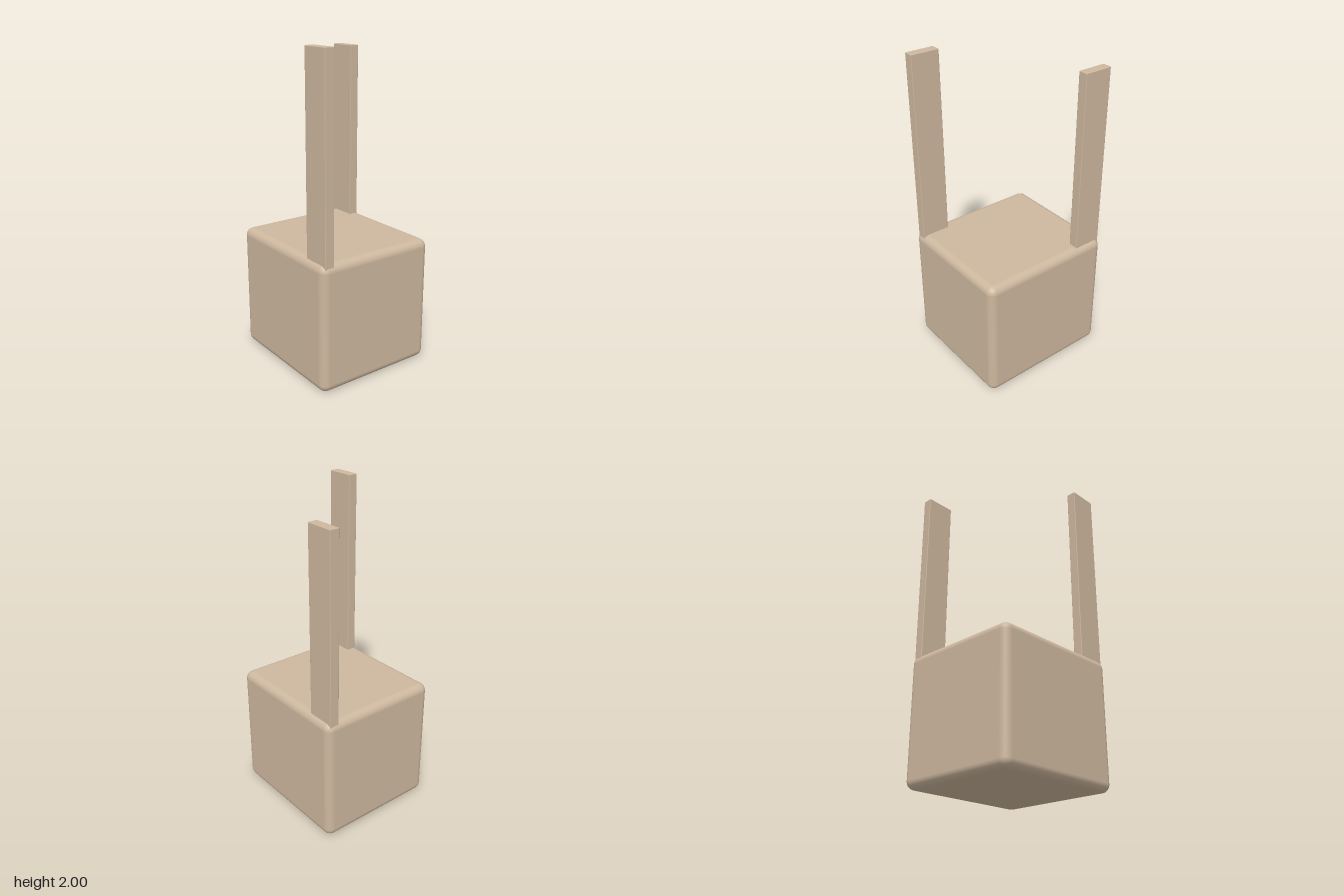
import * as THREE from 'three';
import { RoundedBoxGeometry } from 'three/addons/geometries/RoundedBoxGeometry.js';

export function createModel() {
  const model = new THREE.Group();
  model.name = 'seatWithPosts';
  const material = new THREE.MeshStandardMaterial({ color: 0xcdb79e });

  // rounded box standing between two heights
  const block = (name, [w, d], [bottom, top], [x, z], radius, segments) => {
    const h = top - bottom;
    const mesh = new THREE.Mesh(new RoundedBoxGeometry(w, h, d, segments, radius), material);
    mesh.name = name;
    mesh.position.set(x, bottom + h / 2, z);
    model.add(mesh);
  };

  // cushioned base
  block('base', [0.805, 0.88], [0, 0.806], [0, 0], 0.05, 6);

  // two flat posts on opposite corners, one slightly taller
  for (const [name, side, top] of [['rightPost', -1, 2], ['leftPost', 1, 1.94]]) {
    block(name, [0.061, 0.184], [0.7, top], [side * 0.346, side * -0.337], 0.004, 2);
  }

  // the whole piece stands turned on the ground
  model.rotation.y = THREE.MathUtils.degToRad(-16.9);
  return model;
}
